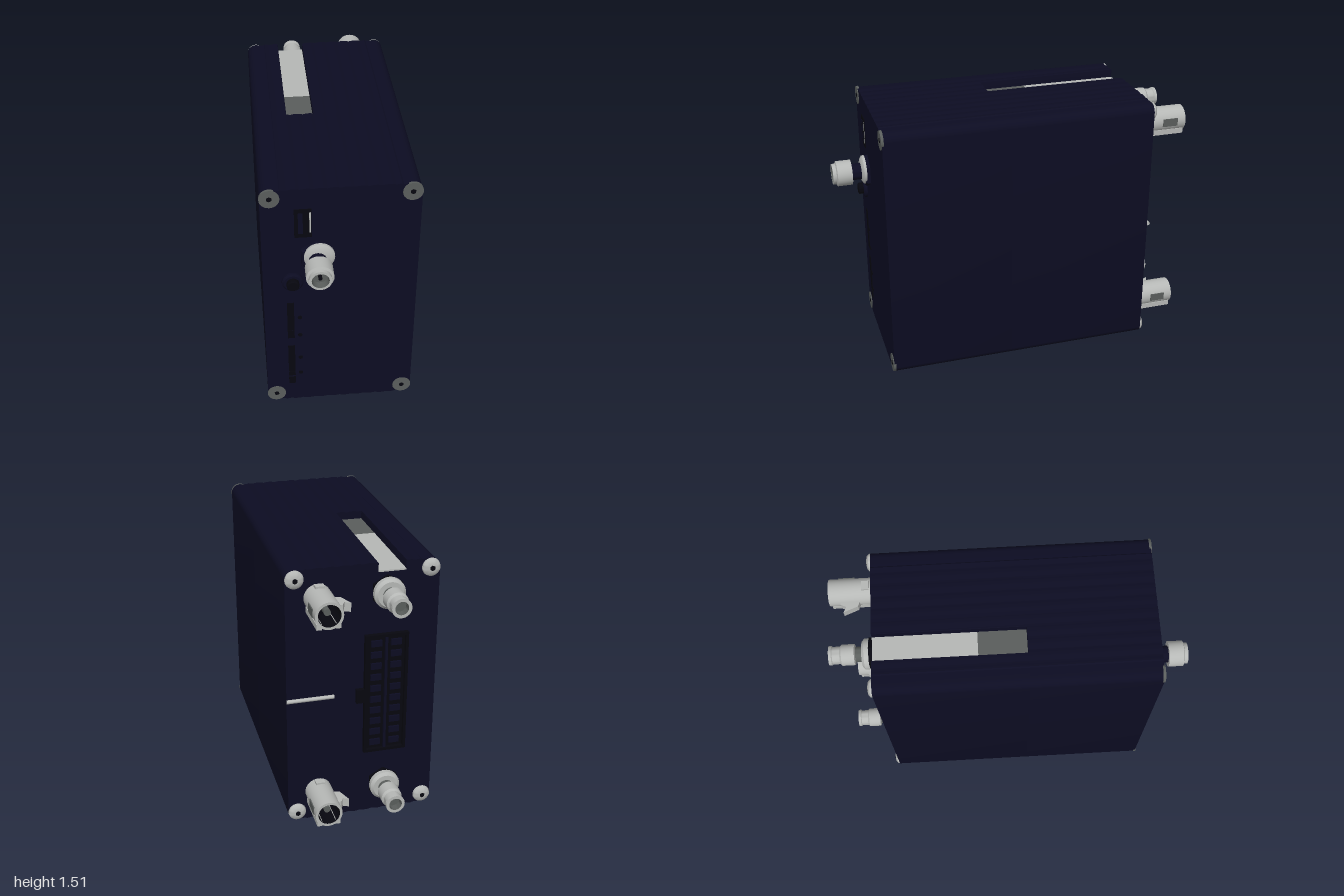
import * as THREE from 'three';
import { toCreasedNormals } from 'three/addons/utils/BufferGeometryUtils.js';

const mat = (name, color) => new THREE.MeshStandardMaterial({ name, color });

export function createModel() {
  const navy = mat('navy', 0x0c0c22);
  const black = mat('black', 0x07070f);
  const light = mat('light metal', 0xb6b8b6);
  const grey = mat('grey metal', 0x5a5e5c);
  const root = new THREE.Group();

  const add = (name, geo, material, x = 0, y = 0, z = 0, parent = root) => {
    const m = new THREE.Mesh(geo, material);
    m.name = name;
    m.position.set(x, y, z);
    parent.add(m);
    return m;
  };
  const group = (name, x, y, z, back = false) => {
    const g = new THREE.Group();
    g.name = name;
    g.position.set(x, y, z);
    if (back) g.rotation.y = Math.PI;
    root.add(g);
    return g;
  };
  const box = (w, h, d) => new THREE.BoxGeometry(w, h, d);
  // Turned part along +z, profile given as [radius, z]
  const turned = (pts, sides = 32) => toCreasedNormals(
    new THREE.LatheGeometry(pts.map(p => new THREE.Vector2(...p)), sides).rotateX(Math.PI / 2), 0.6);

  // Case cross-section: rounded corners, scalloped top and bottom
  const W = 0.415, Y0 = 0.01, Y1 = 1.505, R = 0.05;
  const ribX = x => Math.abs(x) < 0.315 ? 0.005 * Math.abs(Math.sin(x * Math.PI / 0.07)) : 0;
  const caseShape = slot => {
    const s = new THREE.Shape();
    s.moveTo(-W + R, Y0);
    for (let i = 0; i <= 90; i++) {
      const x = -0.315 + i * 0.007;
      s.lineTo(x, Y0 - ribX(x));
    }
    s.lineTo(W - R, Y0);
    s.absarc(W - R, Y0 + R, R, -Math.PI / 2, 0);
    s.absarc(W - R, Y1 - R, R, 0, Math.PI / 2);
    let cut = false;
    for (let i = 90; i >= 0; i--) {
      const x = -0.315 + i * 0.007;
      if (slot && x < -0.08 && x > -0.23) {
        if (!cut) {
          s.lineTo(-0.08, Y1);
          s.lineTo(-0.08, Y1 - 0.05);
          s.lineTo(-0.23, Y1 - 0.05);
          s.lineTo(-0.23, Y1);
        }
        cut = true;
      } else s.lineTo(x, Y1 + ribX(x));
    }
    s.absarc(-W + R, Y1 - R, R, Math.PI / 2, Math.PI);
    s.absarc(-W + R, Y0 + R, R, Math.PI, Math.PI * 1.5);
    return s;
  };
  const caseGeo = (slot, depth) => toCreasedNormals(
    new THREE.ExtrudeGeometry(caseShape(slot), { depth, bevelEnabled: false, curveSegments: 8 }), 0.5);
  add('rearCase', caseGeo(true, 0.83), navy, 0, 0, -0.75);
  add('frontCase', caseGeo(false, 0.71), navy, 0, 0, 0.08);

  // Two-tone floor of the top slot
  add('slotFloorRear', box(0.15, 0.008, 0.565), light, -0.155, 1.459, -0.4675);
  add('slotFloorFront', box(0.15, 0.008, 0.265), grey, -0.155, 1.459, -0.0525);

  // Corner screws: flat in front, domed behind
  for (const x of [-0.365, 0.365]) for (const y of [0.062, 1.458]) {
    const f = group('frontScrew', x, y, 0.79);
    add('screwHead', turned([[0.053, -0.01], [0.053, 0.004], [0, 0.004]]), grey, 0, 0, 0, f);
    add('screwSocket', turned([[0.015, 0], [0.015, 0.006], [0, 0.006]], 6), black, 0, 0, 0, f);
    const b = group('backScrew', x, y, -0.75, true);
    add('screwHead', turned([[0.05, 0], [0.048, 0.01], [0.036, 0.021], [0.018, 0.025], [0, 0.025]]), light, 0, 0, 0, b);
    add('screwSocket', turned([[0.015, 0.02], [0.015, 0.027], [0, 0.027]], 6), black, 0, 0, 0, b);
  }

  // Front antenna connector
  const a = group('frontAntennaConnector', -0.125, 1.08, 0.79);
  add('hexNut', turned([[0.097, 0], [0.097, 0.018], [0.085, 0.028], [0, 0.028]], 6), navy, 0, 0, 0, a);
  add('washer', turned([[0.082, 0.02], [0.082, 0.034], [0.065, 0.045], [0, 0.045]]), light, 0.01, 0.012, 0, a);
  add('neck', turned([[0.048, 0.03], [0.048, 0.11]]), navy, 0, 0, 0, a);
  add('tip', turned([[0.04, 0.1], [0.073, 0.1], [0.073, 0.185], [0.06, 0.19], [0.06, 0.21], [0.046, 0.21]]), light, 0, 0, 0, a);
  add('tipBore', turned([[0.046, 0.21], [0.042, 0.17], [0, 0.17]]), grey, 0, 0, 0, a);
  add('pin', turned([[0.01, 0.17], [0.01, 0.195], [0, 0.195]], 12), black, 0, 0, 0, a);

  // Front button
  const b = group('button', -0.257, 0.91, 0.79);
  add('buttonRing', turned([[0.058, 0], [0.058, 0.012], [0.048, 0.02], [0, 0.02]]), navy, 0, 0, 0, b);
  add('buttonCap', turned([[0.034, 0.01], [0.034, 0.042], [0.028, 0.048], [0, 0.048]]), black, 0, 0, 0, b);

  // Front video port and card slots
  add('videoPort', box(0.09, 0.18, 0.008), black, -0.197, 1.295, 0.79);
  add('videoPortTongue', box(0.025, 0.13, 0.009), navy, -0.21, 1.295, 0.791);
  add('videoPortEdge', box(0.008, 0.13, 0.009), light, -0.16, 1.3, 0.791);
  for (const [y, h] of [[0.655, 0.2], [0.523, 0.055], [0.335, 0.2], [0.215, 0.03], [0.162, 0.05]])
    add('cardSlot', box(0.038, h, 0.008), black, -0.272, y, 0.79);
  for (const y of [0.645, 0.515, 0.34, 0.22])
    add('indicator', turned([[0.012, 0], [0.012, 0.004], [0, 0.004]], 12), black, -0.222, y, 0.79);

  // Back connectors, one pair high and one pair low
  for (const y of [1.35, 0.185]) {
    const s = group('backAntennaConnector', -0.13, y, -0.75, true);
    add('hexNut', turned([[0.09, 0], [0.09, 0.025], [0, 0.025]], 6), black, 0, 0, 0, s);
    add('washer', turned([[0.085, 0.025], [0.085, 0.05], [0.07, 0.064], [0, 0.064]]), light, 0, 0, 0, s);
    add('neck', turned([[0.042, 0.06], [0.042, 0.12]]), grey, 0, 0, 0, s);
    add('tip', turned([[0.04, 0.1], [0.058, 0.105], [0.058, 0.175], [0.048, 0.185], [0.048, 0.225], [0.053, 0.23], [0.053, 0.245], [0.036, 0.245]]), light, 0, 0, 0, s);
    add('tipBore', turned([[0.036, 0.245], [0.036, 0.2], [0, 0.2]]), grey, 0, 0, 0, s);

    const c = group('backSocket', 0.243, y, -0.75, true);
    add('socketShell', turned([[0.074, 0], [0.074, 0.245], [0.06, 0.245]]), light, 0, 0, 0, c);
    add('socketBore', turned([[0.06, 0.245], [0.06, 0.08], [0, 0.08]]), black, 0, 0, 0, c);
    add('socketPin', turned([[0.018, 0.08], [0.018, 0.2], [0, 0.2]], 16), grey, 0, 0, 0, c);
    for (const x of [-0.05, 0.05])
      add('socketRail', box(0.028, 0.03, 0.235), light, x, -0.06, 0.1175, c);
    add('socketCollar', box(0.05, 0.02, 0.04), light, 0, 0.073, 0.04, c);
    // Sloping latch on the inner side
    const latch = new THREE.Shape([[0.06, 0.07], [0.1, 0.085], [0.132, 0.165], [0.1, 0.15], [0.085, 0.18], [0.06, 0.18]]
      .map(p => new THREE.Vector2(...p)));
    const latchGeo = new THREE.ExtrudeGeometry(latch, { depth: 0.05, bevelEnabled: false })
      .rotateX(Math.PI / 2).translate(0, 0.025, 0);
    add('socketLatch', latchGeo, light, 0, 0, 0, c);
    add('socketWindow', box(0.006, 0.045, 0.09), grey, -0.073, 0, 0.15, c);
  }

  // Multi-pin block: frame, ribs and two columns of pins
  const p = group('pinBlock', -0.13, 0.755, -0.75, true);
  for (const x of [-0.112, 0.112]) add('blockSide', box(0.016, 0.71, 0.025), black, x, 0, 0.0125, p);
  for (const y of [-0.347, 0.347]) add('blockEnd', box(0.24, 0.016, 0.025), black, 0, y, 0.0125, p);
  add('blockFloor', box(0.22, 0.7, 0.006), black, 0, 0, 0.002, p);
  add('blockRib', box(0.014, 0.69, 0.018), navy, 0, 0, 0.009, p);
  for (let i = 0; i < 10; i++) for (const x of [-0.055, 0.055])
    add('blockPin', box(0.06, 0.035, 0.016), navy, x, -0.3 + i * 0.0667, 0.008, p);
  add('blockLatch', box(0.05, 0.08, 0.025), black, -0.14, 0, 0.0125, p);

  // Thin rod lying across the back panel
  add('backRod', new THREE.CylinderGeometry(0.011, 0.011, 0.26, 12).rotateZ(Math.PI / 2), light, 0.285, 0.767, -0.757);

  return root;
}
